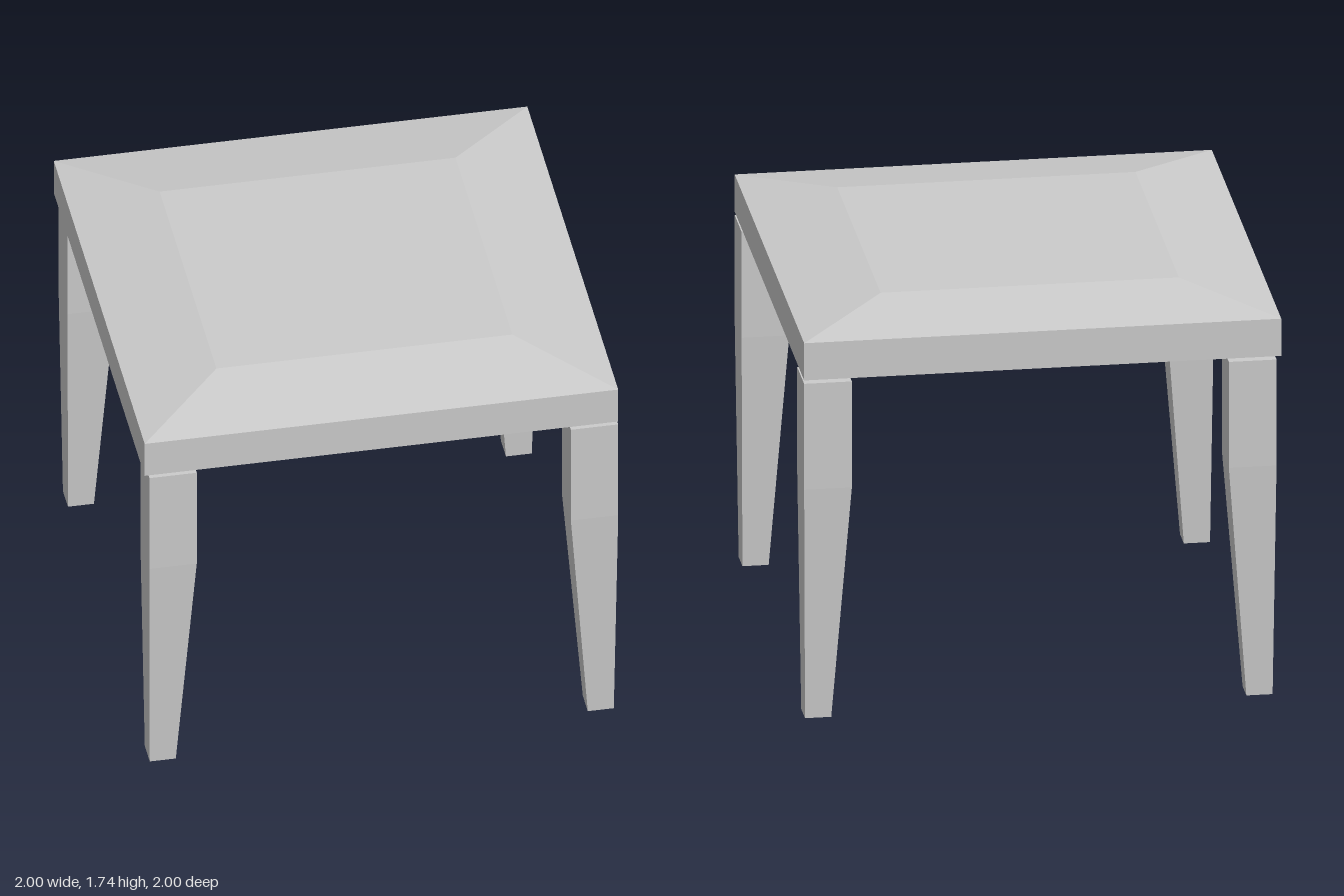
import * as THREE from 'three';

const material = new THREE.MeshStandardMaterial({ color: 0xcccccc, flatShading: true });

// Closed solid through stacked rectangles, each [y, x0, x1, z0, z1], bottom to top
function loft(name, sections) {
  const positions = [];
  const index = [];
  const quad = (a, b, c, d) => index.push(a, b, c, a, c, d);
  for (const [y, x0, x1, z0, z1] of sections) {
    positions.push(x0, y, z1, x1, y, z1, x1, y, z0, x0, y, z0);
  }
  for (let s = 0; s < sections.length - 1; s++) {
    const a = s * 4, b = a + 4;
    for (let i = 0; i < 4; i++) {
      const j = (i + 1) % 4;
      quad(a + i, a + j, b + j, b + i);
    }
  }
  const t = (sections.length - 1) * 4;
  quad(0, 3, 2, 1);
  quad(t, t + 1, t + 2, t + 3);

  const indexed = new THREE.BufferGeometry();
  indexed.setAttribute('position', new THREE.Float32BufferAttribute(positions, 3));
  indexed.setIndex(index);
  const geometry = indexed.toNonIndexed();
  geometry.computeVertexNormals();
  const mesh = new THREE.Mesh(geometry, material);
  mesh.name = name;
  return mesh;
}

export function createModel() {
  const model = new THREE.Group();
  model.name = 'table';

  // Square slab with a shallow bevelled top
  model.add(loft('tabletop', [
    [1.515, -1, 1, -1, 1],
    [1.68, -1, 1, -1, 1],
    [1.743, -0.625, 0.625, -0.625, 0.625],
  ]));

  // Legs: straight upper part, tapering below the knee; right pair set slightly inward
  const profile = [
    [0, 0.88, 0.99, 0.845, 0.955],
    [1.03, 0.8, 1, 0.8, 1],
    [1.5, 0.8, 1, 0.8, 1],
  ];
  for (const sx of [1, -1]) {
    for (const sz of [1, -1]) {
      const inset = sx < 0 ? 0.02 : 0;
      const sections = profile.map(([y, xi, xo, zi, zo]) => {
        const xs = [sx * (xi - inset), sx * (xo - inset)];
        const zs = [sz * zi, sz * zo];
        return [y, Math.min(...xs), Math.max(...xs), Math.min(...zs), Math.max(...zs)];
      });
      model.add(loft(`${sz > 0 ? 'front' : 'back'}${sx > 0 ? 'Left' : 'Right'}Leg`, sections));
    }
  }
  return model;
}
